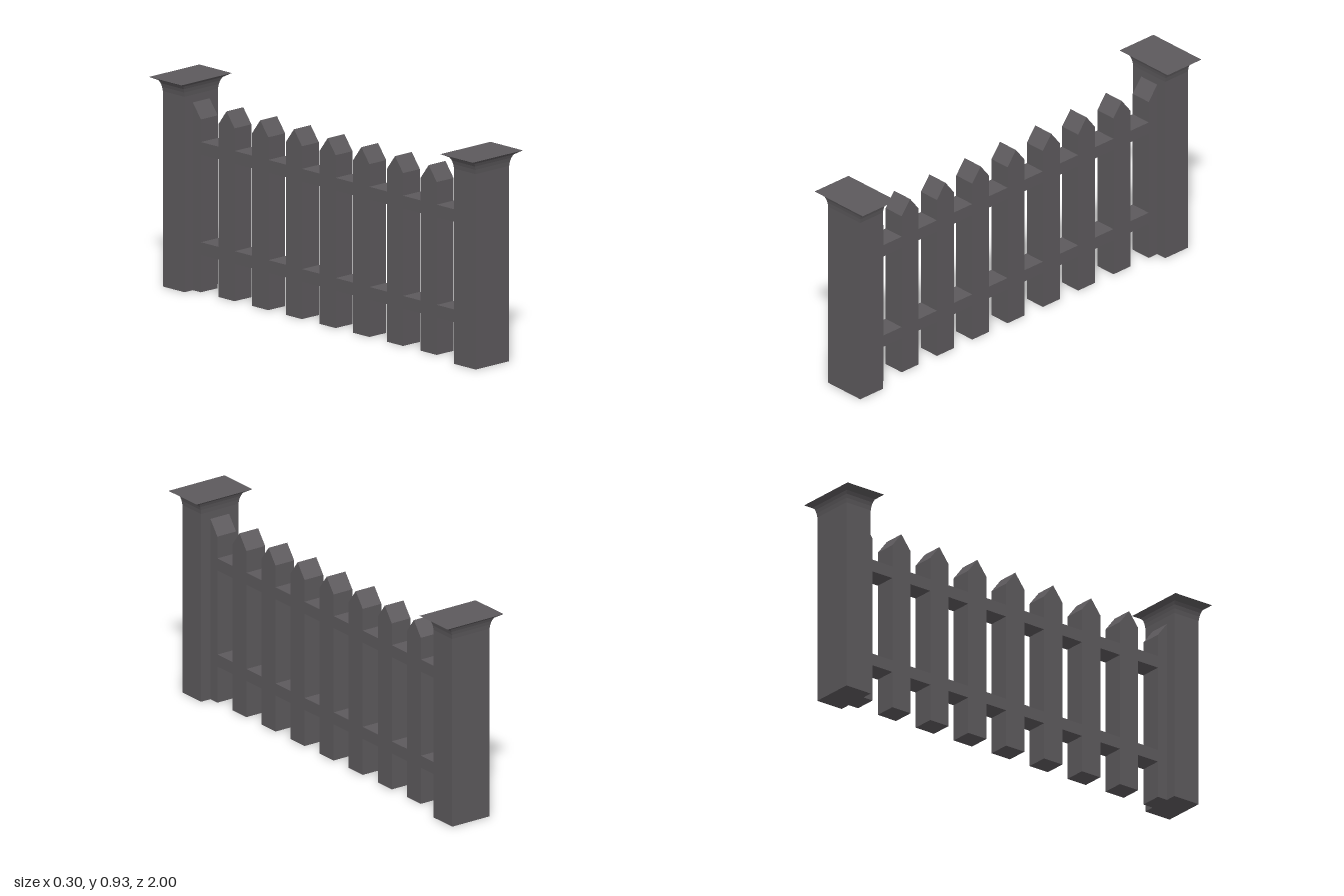
import * as THREE from 'three';

export function createModel() {
  const model = new THREE.Group();
  model.name = 'picketFence';
  const paint = new THREE.MeshStandardMaterial({ color: 0x5c595c });
  paint.name = 'darkGrey';

  const add = (name, geometry, x, y, z) => {
    const mesh = new THREE.Mesh(geometry, paint);
    mesh.name = name;
    mesh.position.set(x, y, z);
    model.add(mesh);
  };

  // Posts: four-sided profile flaring into a flat cap
  const profile = [
    [0, 0], [0.1, 0], [0.1, 0.867], [0.103, 0.887], [0.108, 0.903],
    [0.116, 0.917], [0.15, 0.933], [0, 0.933],
  ].map(([r, y]) => new THREE.Vector2(r * Math.SQRT2, y));
  const lathe = new THREE.LatheGeometry(profile, 4);
  lathe.rotateY(Math.PI / 4);
  lathe.scale(1, 1, 2 / 3);
  const postGeometry = lathe.toNonIndexed();
  postGeometry.computeVertexNormals();
  for (const side of [1, -1]) {
    add(side > 0 ? 'frontPost' : 'backPost', postGeometry, 0, 0, side * 0.9);
  }

  // Pickets: pointed boards, the outer two half sunk into the posts
  const width = 0.1, depth = 0.1, spacing = 0.2083;
  const outline = new THREE.Shape([
    [-width / 2, 0], [width / 2, 0], [width / 2, 0.767], [0, 0.833], [-width / 2, 0.767],
  ].map(([x, y]) => new THREE.Vector2(x, y)));
  const picketGeometry = new THREE.ExtrudeGeometry(outline, { depth, bevelEnabled: false });
  picketGeometry.translate(0, 0, -depth / 2);
  picketGeometry.rotateY(Math.PI / 2);
  for (let i = -4; i <= 4; i++) add('picket', picketGeometry, 0, 0, i * spacing);

  // Rails: flush pieces filling the gaps between pickets
  const railGeometry = new THREE.BoxGeometry(depth, 0.0555, spacing - width);
  for (const [name, y] of [['lowerRail', 0.1945], ['upperRail', 0.639]]) {
    for (let i = -4; i < 4; i++) add(name, railGeometry, 0, y, (i + 0.5) * spacing);
  }
  return model;
}
